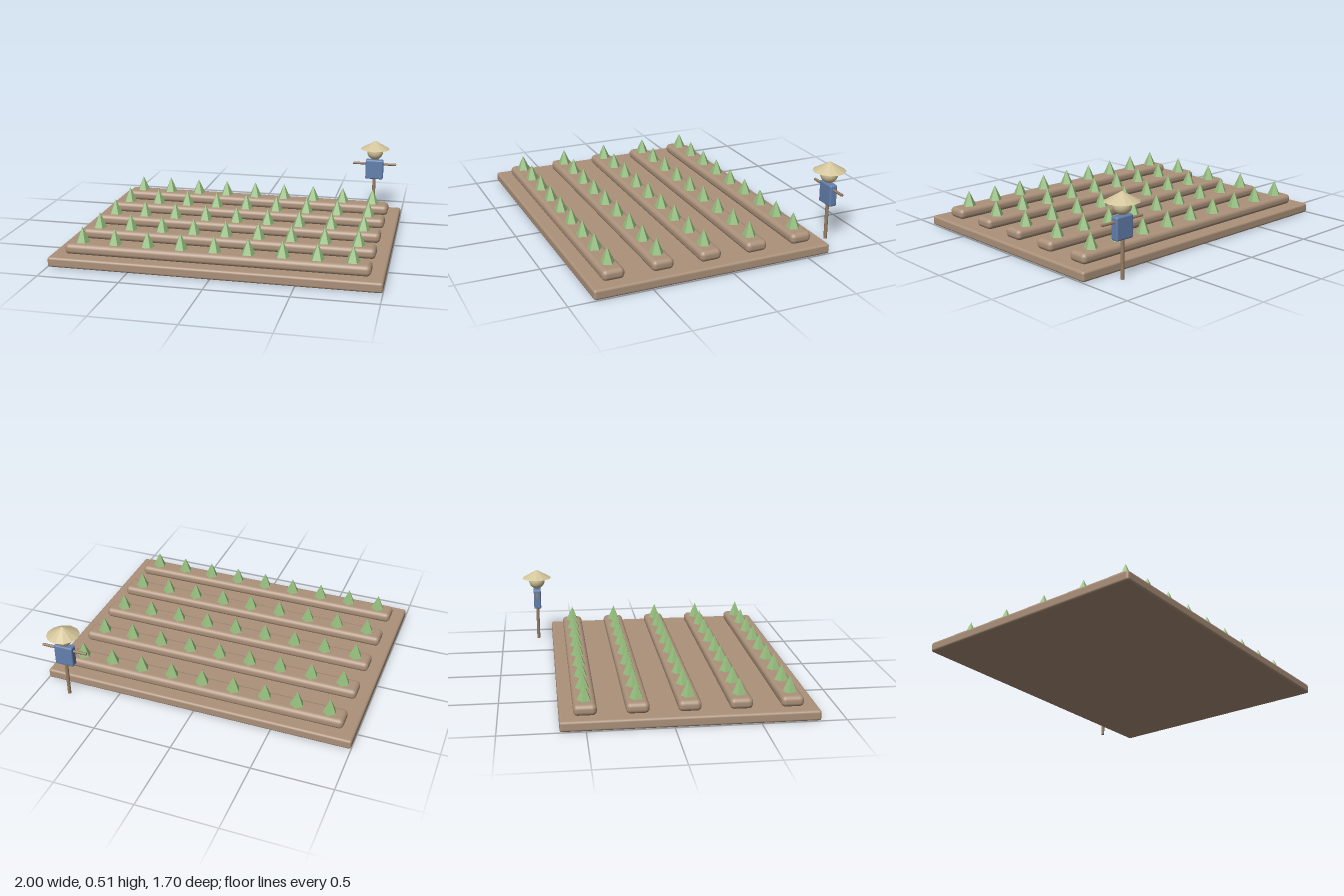
import * as THREE from 'three';
import { RoundedBoxGeometry } from 'three/addons/geometries/RoundedBoxGeometry.js';

function material(name, color, flatShading = false) {
  const m = new THREE.MeshStandardMaterial({ color, flatShading });
  m.name = name;
  return m;
}

export function createModel() {
  const soil = material('soil brown', 0xab917a);
  const leaf = material('leaf green', 0x94bd7c, true);
  const wood = material('wood brown', 0x9a7f66);
  const cloth = material('cloth blue', 0x6480ae);
  const straw = material('straw', 0xd2c49a);
  const strawHat = material('hat straw', 0xd2c49a, true);

  const field = new THREE.Group();
  field.name = 'field';
  const add = (parent, name, geometry, mat, x, y, z) => {
    const mesh = new THREE.Mesh(geometry, mat);
    mesh.name = name;
    mesh.position.set(x, y, z);
    parent.add(mesh);
    return mesh;
  };

  // Ground slab
  add(field, 'ground', new RoundedBoxGeometry(2, 0.062, 1.498, 3, 0.015), soil, 0, 0.031, 0.1);

  // Five raised beds, each with nine sprouts
  const bedGeometry = new RoundedBoxGeometry(1.845, 0.067, 0.135, 4, 0.028);
  const sproutGeometry = new THREE.ConeGeometry(0.045, 0.1, 5).rotateY(Math.PI);
  for (let row = 0; row < 5; row++) {
    const z = 0.7 - row * 0.3;
    const bed = new THREE.Group();
    bed.name = 'bedRow';
    field.add(bed);
    add(bed, 'bed', bedGeometry, soil, 0, 0.091, z);
    for (let i = 0; i < 9; i++) {
      add(bed, 'sprout', sproutGeometry, leaf, -0.824 + i * 0.2047, 0.172, z);
    }
  }

  // Scarecrow behind the field
  const scarecrow = new THREE.Group();
  scarecrow.name = 'scarecrow';
  scarecrow.position.set(0.8, 0, -0.748);
  field.add(scarecrow);
  add(scarecrow, 'pole', new THREE.CylinderGeometry(0.011, 0.011, 0.37, 8), wood, 0, 0.185, 0);
  const arms = add(scarecrow, 'arms', new THREE.CylinderGeometry(0.009, 0.009, 0.3, 8), wood, 0, 0.34, 0);
  arms.rotation.z = Math.PI / 2;
  add(scarecrow, 'shirt', new RoundedBoxGeometry(0.123, 0.137, 0.05, 3, 0.01), cloth, 0, 0.302, 0);
  add(scarecrow, 'head', new THREE.SphereGeometry(0.055, 20, 14), straw, 0, 0.426, 0);
  add(scarecrow, 'hat', new THREE.ConeGeometry(0.102, 0.058, 12), strawHat, 0, 0.477, 0);

  return field;
}
